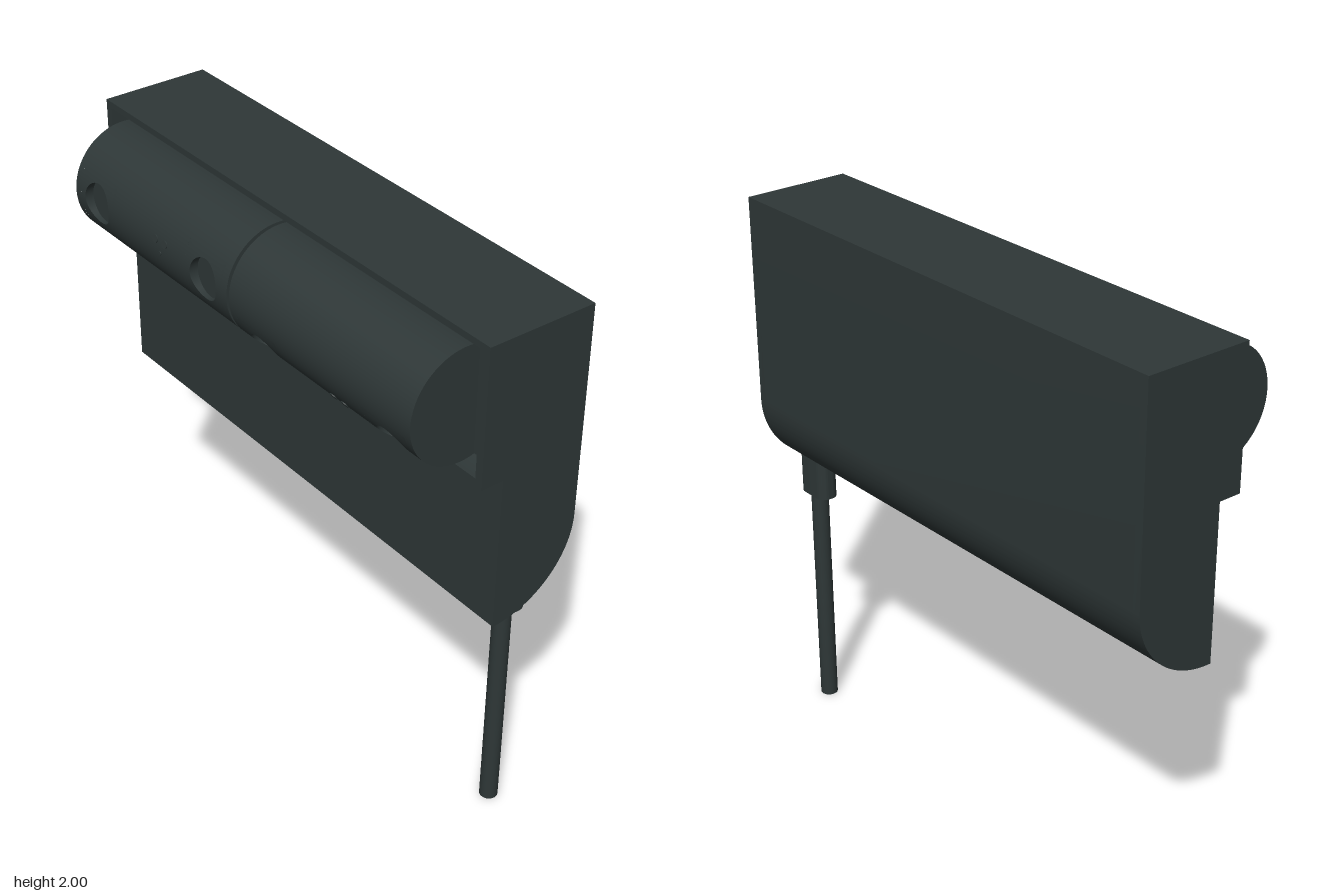
import * as THREE from 'three';
import { toCreasedNormals } from 'three/addons/utils/BufferGeometryUtils.js';

const plastic = new THREE.MeshStandardMaterial({ color: 0x2e3737 });
plastic.name = 'dark slate plastic';

const R = 0.2;        // barrel radius
const LENS = 0.073;   // lens opening radius
const BAND = 0.1;     // half size of the square patch around a lens
const AXIS_Y = 1.755, AXIS_Z = 0.1;

function add(parent, name, geometry, x = 0, y = 0, z = 0) {
  const mesh = new THREE.Mesh(geometry, plastic);
  mesh.name = name;
  mesh.position.set(x, y, z);
  parent.add(mesh);
  return mesh;
}

// Side profile of the housing (z, y), optionally with the barrel trough cut out
function housingProfile(trough) {
  const s = new THREE.Shape();
  s.moveTo(-0.3, 2);
  s.lineTo(-0.3, 1.24);
  s.absellipse(0.015, 1.24, 0.315, 0.3, Math.PI, Math.PI * 1.5, false);
  s.lineTo(0.015, 1.505);
  s.lineTo(0.1, 1.505);
  if (trough) {
    s.lineTo(0.1, AXIS_Y - 0.222);
    s.absarc(AXIS_Z, AXIS_Y, 0.222, Math.PI * 1.5, Math.PI * 0.5, true);
  }
  s.lineTo(0.1, 2);
  s.closePath();
  return s;
}

// Extrude a (z, y) profile along x, centred
function slab(shape, width) {
  const g = new THREE.ExtrudeGeometry(shape, { depth: width, bevelEnabled: false, curveSegments: 32 });
  g.translate(0, 0, -width / 2);
  g.rotateY(-Math.PI / 2);
  return toCreasedNormals(g, 0.5);
}

function roundedRect(w, h, r) {
  const s = new THREE.Shape();
  const x = w / 2 - r, y = h / 2 - r;
  s.absarc(x, y, r, 0, Math.PI / 2);
  s.absarc(-x, y, r, Math.PI / 2, Math.PI);
  s.absarc(-x, -y, r, Math.PI, Math.PI * 1.5);
  s.absarc(x, -y, r, Math.PI * 1.5, Math.PI * 2);
  s.closePath();
  return s;
}

// Closed rings of points joined into a surface
function rings(rows) {
  const n = rows[0].length, index = [];
  for (let i = 0; i < rows.length - 1; i++) {
    for (let k = 0; k < n; k++) {
      const a = i * n + k, b = i * n + (k + 1) % n;
      index.push(a, a + n, b + n, a, b + n, b);
    }
  }
  const g = new THREE.BufferGeometry();
  g.setAttribute('position', new THREE.Float32BufferAttribute(rows.flat(2), 3));
  g.setIndex(index);
  g.computeVertexNormals();
  return g;
}

const onBarrel = (x, y) => [x, y, Math.sqrt(R * R - y * y)];

// Ring blending from the lens circle (t = 0) to the square patch edge (t = 1)
function lensRing(t, point) {
  const row = [];
  for (let k = 0; k < 64; k++) {
    const a = k / 64 * Math.PI * 2, c = Math.cos(a), s = Math.sin(a);
    const d = THREE.MathUtils.lerp(LENS, BAND / Math.max(Math.abs(c), Math.abs(s)), t);
    row.push(point(c * d, s * d));
  }
  return row;
}

// Open curved strip of the barrel between x0 and x1
function barrelStrip(x0, x1, start, length) {
  const g = new THREE.CylinderGeometry(R, R, x1 - x0, 64, 1, true, start, length);
  g.rotateZ(Math.PI / 2);
  g.translate((x0 + x1) / 2, 0, 0);
  return g;
}

// One rotating camera barrel with two recessed lenses and sensor dots
function cameraBarrel() {
  const barrel = new THREE.Group();
  const half = 0.445, off = 0.314, arc = Math.asin(BAND / R), floor = 0.168;
  add(barrel, 'barrelShell', barrelStrip(-half, half, arc, Math.PI * 2 - 2 * arc));
  for (const [a, b] of [[-half, -off - BAND], [-off + BAND, off - BAND], [off + BAND, half]]) {
    add(barrel, 'barrelFront', barrelStrip(a, b, -arc, 2 * arc));
  }
  for (const side of [-1, 1]) {
    add(barrel, 'barrelEnd', new THREE.CircleGeometry(R, 64), side * half).rotation.y = side * Math.PI / 2;
    const x = side * off;
    add(barrel, 'lensSurround', rings([0, 0.25, 0.5, 0.75, 1].map(t => lensRing(t, onBarrel))), x);
    add(barrel, 'lensWall', rings([lensRing(0, (u, v) => [u, v, floor]), lensRing(0, onBarrel)]), x);
    add(barrel, 'lens', new THREE.CircleGeometry(LENS, 64), x, 0, floor);
  }
  // Sensor dots, laid flush on the curve
  for (const [x, y, r] of [[0.043, 0.03, 0.014], [0.097, 0.03, 0.014], [0.07, -0.013, 0.007]]) {
    const p = onBarrel(x, y);
    const dot = add(barrel, 'sensorDot', new THREE.CylinderGeometry(r, r, 0.006, 20), ...p);
    dot.rotation.x = Math.PI / 2 - Math.asin(y / R);
  }
  return barrel;
}

export function createModel() {
  const model = new THREE.Group();
  model.name = 'dualBarrelCamera';

  // Housing: troughed middle and two solid end walls
  const housing = new THREE.Group();
  housing.name = 'housing';
  model.add(housing);
  add(housing, 'housingBody', slab(housingProfile(true), 1.93));
  for (const side of [-1, 1]) {
    add(housing, 'housingEndWall', slab(housingProfile(false), 0.03), side * 0.98);
  }

  // Rounded cradle plate behind the barrels
  const cradle = new THREE.ExtrudeGeometry(roundedRect(1.925, 0.38, 0.045), { depth: 0.1, bevelEnabled: false });
  add(housing, 'cradlePlate', cradle, 0, AXIS_Y, -0.05);

  // Barrels: one looks forward, the other is turned downward
  for (const side of [-1, 1]) {
    const barrel = cameraBarrel();
    barrel.name = side < 0 ? 'rightBarrel' : 'leftBarrel';
    barrel.position.set(side * 0.452, AXIS_Y, AXIS_Z);
    if (side > 0) barrel.rotation.x = Math.PI / 4;
    model.add(barrel);
  }

  // Cable and plug
  const plug = new THREE.ExtrudeGeometry(roundedRect(0.145, 0.08, 0.035), { depth: 0.19, bevelEnabled: false });
  plug.rotateX(-Math.PI / 2);
  add(model, 'cablePlug', toCreasedNormals(plug, 0.6), 0.853, 0.87, -0.16);
  add(model, 'cable', new THREE.CylinderGeometry(0.032, 0.032, 0.89, 32), 0.853, 0.445, -0.16);

  return model;
}
